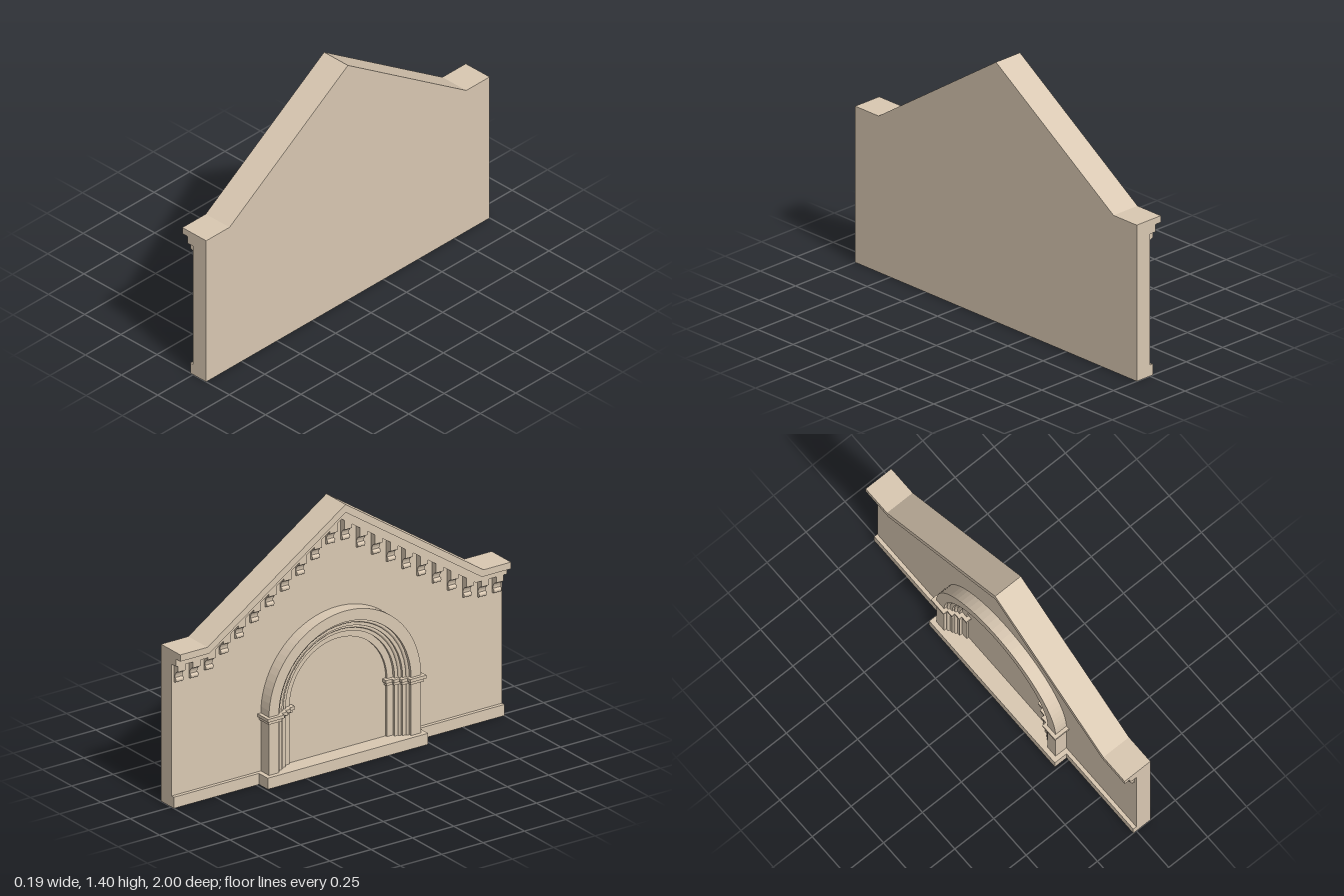
import * as THREE from 'three';

const stone = new THREE.MeshStandardMaterial({ color: 0xd9c8b2 });
const EAVE = 0.845, APEX = 1.405, KNEE = 0.835, SPRING = 0.37;
const SLOPE = (APEX - EAVE) / KNEE;
const SEC = Math.hypot(1, SLOPE);

function add(parent, name, geometry, x = 0, y = 0, z = 0) {
  const mesh = new THREE.Mesh(geometry, stone);
  mesh.name = name;
  mesh.position.set(x, y, z);
  parent.add(mesh);
  return mesh;
}

// box given by its limits on each axis
function block(parent, name, x0, x1, y0, y1, z0, z1) {
  return add(parent, name, new THREE.BoxGeometry(x1 - x0, y1 - y0, z1 - z0),
    (x0 + x1) / 2, (y0 + y1) / 2, (z0 + z1) / 2);
}

// shape drawn in (z, y), extruded from x = xBack towards -x
function slab(parent, name, shape, xBack, depth) {
  const geo = new THREE.ExtrudeGeometry(shape, { depth, bevelEnabled: false, curveSegments: 20 });
  geo.rotateY(-Math.PI / 2);
  return add(parent, name, geo, xBack);
}

const polygon = pts => new THREE.Shape(pts.map(p => new THREE.Vector2(...p)));

// gable outline moved inwards by t, from right end to left end
function gableLine(t) {
  const knee = KNEE - t * (SEC - 1) / SLOPE;
  return [[1, EAVE - t], [knee, EAVE - t], [0, APEX - t * SEC], [-knee, EAVE - t], [-1, EAVE - t]];
}

const corniceBand = (t0, t1) => polygon([...gableLine(t0), ...gableLine(t1).reverse()]);

function archRing(inner, outer) {
  const s = new THREE.Shape();
  s.absarc(0, SPRING, outer, 0, Math.PI, false);
  s.absarc(0, SPRING, inner, Math.PI, 0, true);
  return s;
}

// bracket profile in (x, y), hung from y = 0, with a scooped front and a small foot
function corbelGeometry(width) {
  const s = new THREE.Shape();
  s.moveTo(0.005, 0.03);
  s.lineTo(-0.035, 0.03);
  s.lineTo(-0.035, -0.035);
  s.quadraticCurveTo(-0.008, -0.04, -0.006, -0.075);
  s.quadraticCurveTo(-0.019, -0.078, -0.017, -0.09);
  s.quadraticCurveTo(-0.015, -0.1, -0.004, -0.1);
  s.lineTo(0.005, -0.1);
  const geo = new THREE.ExtrudeGeometry(s, { depth: width, bevelEnabled: false, curveSegments: 5 });
  return geo.translate(0, 0, -width / 2);
}

export function createModel() {
  const model = new THREE.Group();
  model.name = 'gableFacade';

  // plain wall and plinth
  slab(model, 'wall', polygon([[-1, 0], [1, 0], ...gableLine(0)]), 0.09, 0.09);
  block(model, 'plinth', -0.02, 0.002, 0, 0.06, -1, 1);

  // stepped cornice following the gable
  slab(model, 'corniceTop', corniceBand(0, 0.036), 0.002, 0.077);
  slab(model, 'corniceLower', corniceBand(0.036, 0.076), 0.002, 0.042);

  // row of corbels under the cornice
  const corbels = new THREE.Group();
  corbels.name = 'corbels';
  model.add(corbels);
  const geo = corbelGeometry(0.045);
  const under = z => Math.min(APEX - 0.076 * SEC - SLOPE * z, 9);
  for (const side of [-1, 1]) {
    for (let i = 0; i < 9; i++) {
      const z = 0.045 + i * 0.092;
      add(corbels, 'corbel', geo, 0, Math.max(under(z), EAVE - 0.076), side * z);
    }
    for (const z of [0.872, 0.962]) add(corbels, 'corbel', geo, 0, EAVE - 0.076, side * z);
  }

  // portal: sill, stepped orders with jambs, capitals and arches
  const portal = new THREE.Group();
  portal.name = 'portal';
  model.add(portal);
  block(portal, 'sill', -0.095, 0.002, 0, 0.06, -0.485, 0.485);
  const orders = [ // inner radius, outer radius, projection
    [0.40, 0.46, 0.07], [0.365, 0.40, 0.047], [0.33, 0.365, 0.028], [0.295, 0.33, 0.012],
  ];
  orders.forEach(([inner, outer, depth], i) => {
    slab(portal, 'archOrder', archRing(inner, outer), 0.002, depth + 0.002);
    for (const side of [-1, 1]) {
      const jamb = (name, x, y0, y1, grow) => {
        const a = side * (inner - grow), b = side * (outer + (i ? 0 : grow));
        block(portal, name, x, 0.002, y0, y1, Math.min(a, b), Math.max(a, b));
      };
      jamb('jamb', -depth, 0.06, 0.34, 0);
      jamb('capitalNeck', -depth - 0.01, 0.338, 0.355, 0.01);
      jamb('capitalSlab', -depth - 0.019, 0.355, 0.372, 0.019);
    }
  });

  // slim columns and matching roll mouldings in the angles of the orders
  for (const [radius, x] of [[0.392, -0.049], [0.357, -0.03]]) {
    const roll = add(portal, 'rollMoulding',
      new THREE.TorusGeometry(radius, 0.009, 8, 24, Math.PI), x, SPRING, 0);
    roll.rotation.y = -Math.PI / 2;
    for (const side of [-1, 1])
      add(portal, 'column', new THREE.CylinderGeometry(0.009, 0.009, 0.29, 10), x, 0.2, side * radius);
  }

  return model;
}
